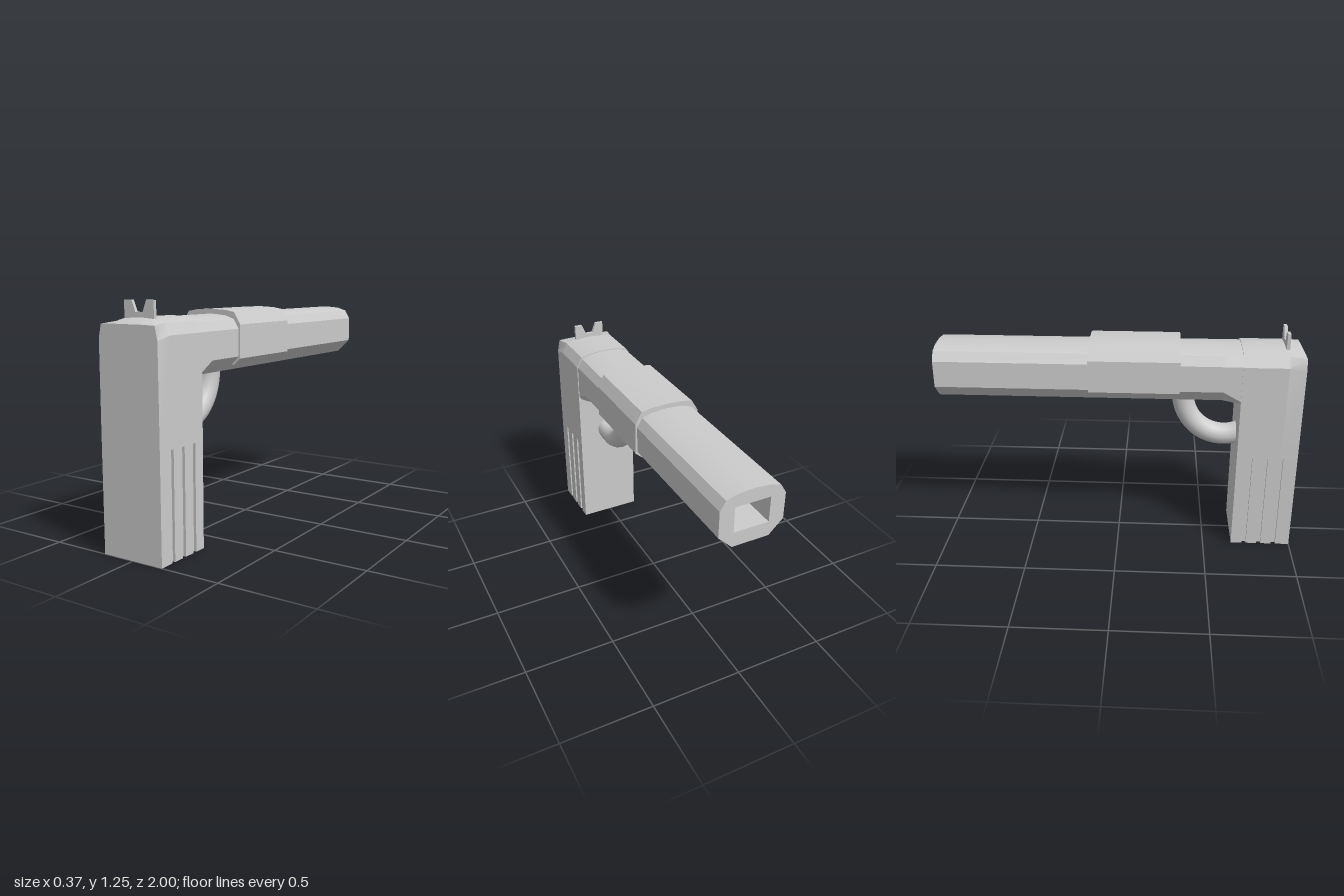
import * as THREE from 'three';
import { toCreasedNormals } from 'three/addons/utils/BufferGeometryUtils.js';

const material = new THREE.MeshStandardMaterial({ color: 0xcccccc });

// Closed shape from the +x half of an outline, listed bottom to top
function mirrored(half) {
  const left = half.filter(([x]) => x > 0).map(([x, y]) => [-x, y]).reverse();
  return new THREE.Shape([...half, ...left].map(([x, y]) => new THREE.Vector2(x, y)));
}

// Extrude a shape from z0 to z1
function extrude(shape, z0, z1) {
  const geo = new THREE.ExtrudeGeometry(shape, { depth: z1 - z0, bevelEnabled: false });
  return geo.translate(0, 0, z0);
}

// Change the section at one end: each half-outline point goes to its partner
function reshapeEnd(geo, z, from, to) {
  const p = geo.attributes.position;
  for (let i = 0; i < p.count; i++) {
    if (Math.abs(p.getZ(i) - z) > 1e-4) continue;
    const k = from.findIndex(([x, y]) =>
      Math.abs(Math.abs(p.getX(i)) - x) < 1e-4 && Math.abs(p.getY(i) - y) < 1e-4);
    if (k >= 0) p.setXY(i, Math.sign(p.getX(i)) * to[k][0], to[k][1]);
  }
  return geo;
}

export function createModel() {
  const model = new THREE.Group();
  const add = (name, geo, crease = 0.45) => {
    const mesh = new THREE.Mesh(toCreasedNormals(geo, crease), material);
    mesh.name = name;
    model.add(mesh);
  };

  // Barrel: chamfered tube with a rectangular bore
  const barrel = [[0.1, 0.87], [0.175, 0.945], [0.175, 1.09], [0.145, 1.14], [0.09, 1.158], [0, 1.165]];
  const barrelShape = mirrored(barrel);
  const bore = [[-0.095, 0.95], [-0.095, 1.09], [0.095, 1.09], [0.095, 0.95]];
  barrelShape.holes.push(new THREE.Path(bore.map(([x, y]) => new THREE.Vector2(x, y))));
  add('barrel', extrude(barrelShape, -1, 0.57));

  // Lower chamfer fades out where the barrel meets the grip
  const root = barrel.map((p) => [...p]);
  root[0] = [0.165, 0.875];
  root[1] = [0.176, 0.89];
  add('barrelRoot', reshapeEnd(extrude(mirrored(barrel), 0.57, 0.67), 0.67, barrel, root));

  // Sleeve wrapped around the barrel
  add('sleeve', extrude(mirrored([
    [0.145, 0.9], [0.185, 0.935], [0.185, 1.112], [0.147, 1.176], [0.09, 1.186], [0, 1.19],
  ]), -0.16, 0.335));

  // Upper grip, with its top sloping down at the end
  const grooveTop = 0.555;
  const upper = [[0.18, grooveTop], [0.18, 1.09], [0.148, 1.147], [0.09, 1.164], [0, 1.17]];
  const end = [[0.18, grooveTop], [0.178, 1.07], [0.163, 1.138], [0.09, 1.14], [0, 1.14]];
  add('upperGrip', extrude(mirrored(upper), 0.665, 0.91));
  add('gripEnd', reshapeEnd(extrude(mirrored(upper), 0.91, 1), 1, upper, end));

  // Lower grip: plan outline with three vertical grooves on each side
  const plan = [[0.18, -1]];
  for (const z of [0.91, 0.825, 0.74]) {
    plan.push([0.18, -z - 0.012], [0.165, -z - 0.012], [0.165, -z + 0.012], [0.18, -z + 0.012]);
  }
  plan.push([0.18, -0.665]);
  add('lowerGrip', extrude(mirrored(plan), 0, grooveTop).rotateX(-Math.PI / 2));

  // Curved guard under the barrel
  const arc = [];
  for (let i = 0; i <= 12; i++) {
    const a = (i / 12) * Math.PI * 0.62;
    arc.push(new THREE.Vector3(0, 0.87 - 0.247 * Math.sin(a), 0.595 - 0.236 * Math.cos(a)));
  }
  arc.unshift(new THREE.Vector3(0, 0.92, 0.359));
  add('guard', new THREE.TubeGeometry(new THREE.CatmullRomCurve3(arc), 32, 0.061, 16), 1);

  // Notched sight
  add('sight', extrude(mirrored([
    [0.09, 1.15], [0.09, 1.25], [0.045, 1.25], [0.022, 1.193],
  ]), 0.897, 0.915));

  return model;
}
